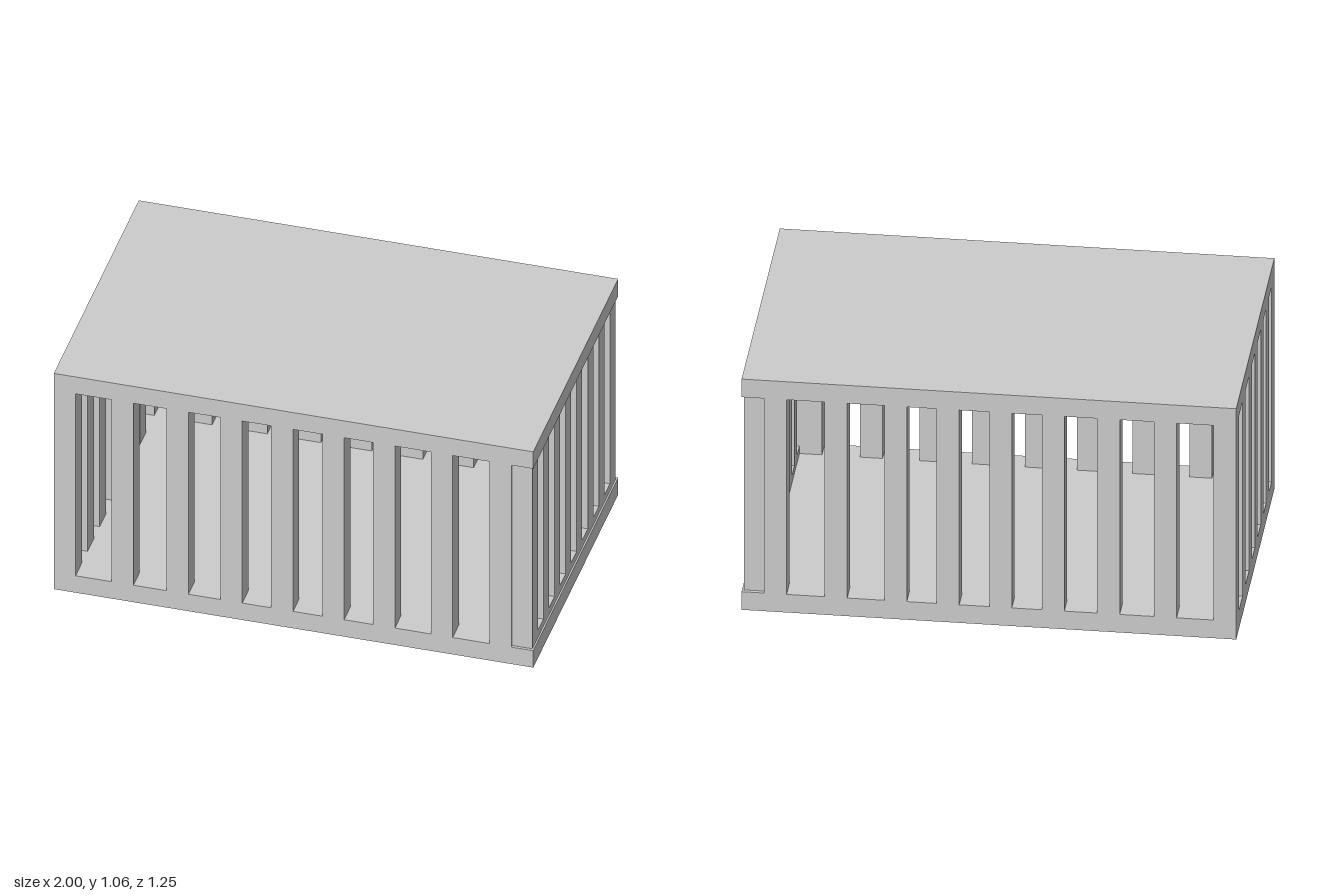
import * as THREE from 'three';

const material = new THREE.MeshStandardMaterial({ color: 0xcccccc });

// Box given by its extents on each axis
function block(name, [x0, x1], [y0, y1], [z0, z1]) {
  const mesh = new THREE.Mesh(new THREE.BoxGeometry(x1 - x0, y1 - y0, z1 - z0), material);
  mesh.name = name;
  mesh.position.set((x0 + x1) / 2, (y0 + y1) / 2, (z0 + z1) / 2);
  return mesh;
}

export function createModel() {
  const model = new THREE.Group();
  model.name = 'barredCrate';

  const W = 1, D = 0.625, H = 1.06, slab = 0.083, bar = 0.091;
  const barY = [slab, H - slab];

  // Floor and roof slabs
  model.add(block('floor', [-W, W], [0, slab], [-D, D]));
  model.add(block('roof', [-W, W], [H - slab, H], [-D, D]));

  // Front and back walls share the same bar positions (left edges along x)
  const longBars = [-1, -0.759, -0.529, -0.305, -0.093, 0.12, 0.332, 0.573, 0.818];
  for (const [name, z] of [['front', D - bar], ['back', -D]]) {
    const wall = new THREE.Group();
    wall.name = name + 'Wall';
    for (const x of longBars) wall.add(block(name + 'Bar', [x, x + bar], barY, [z, z + bar]));
    model.add(wall);
  }

  // Closed end at -x: bars between the corner posts
  const closedEnd = new THREE.Group();
  closedEnd.name = 'closedEnd';
  for (const z of [0.403, 0.224, 0.034, -0.157, -0.368])
    closedEnd.add(block('endBar', [-W, -W + bar], barY, [z - bar / 2, z + bar / 2]));
  model.add(closedEnd);

  // Gate at +x: slightly inset, with a low bottom rail and narrower bars
  const gate = new THREE.Group();
  gate.name = 'gate';
  const gateX = [0.909, 0.993], railTop = 0.118, gateFront = 0.613, gateBack = -0.609;
  const count = 8, gateBar = 0.081;
  const step = (gateFront - gateBack - gateBar) / (count - 1);
  gate.add(block('gateRail', gateX, [slab, railTop], [gateBack, gateFront]));
  for (let i = 0; i < count; i++) {
    const z = gateBack + i * step;
    gate.add(block('gateBar', gateX, [railTop, H - slab], [z, z + gateBar]));
  }
  model.add(gate);

  return model;
}
